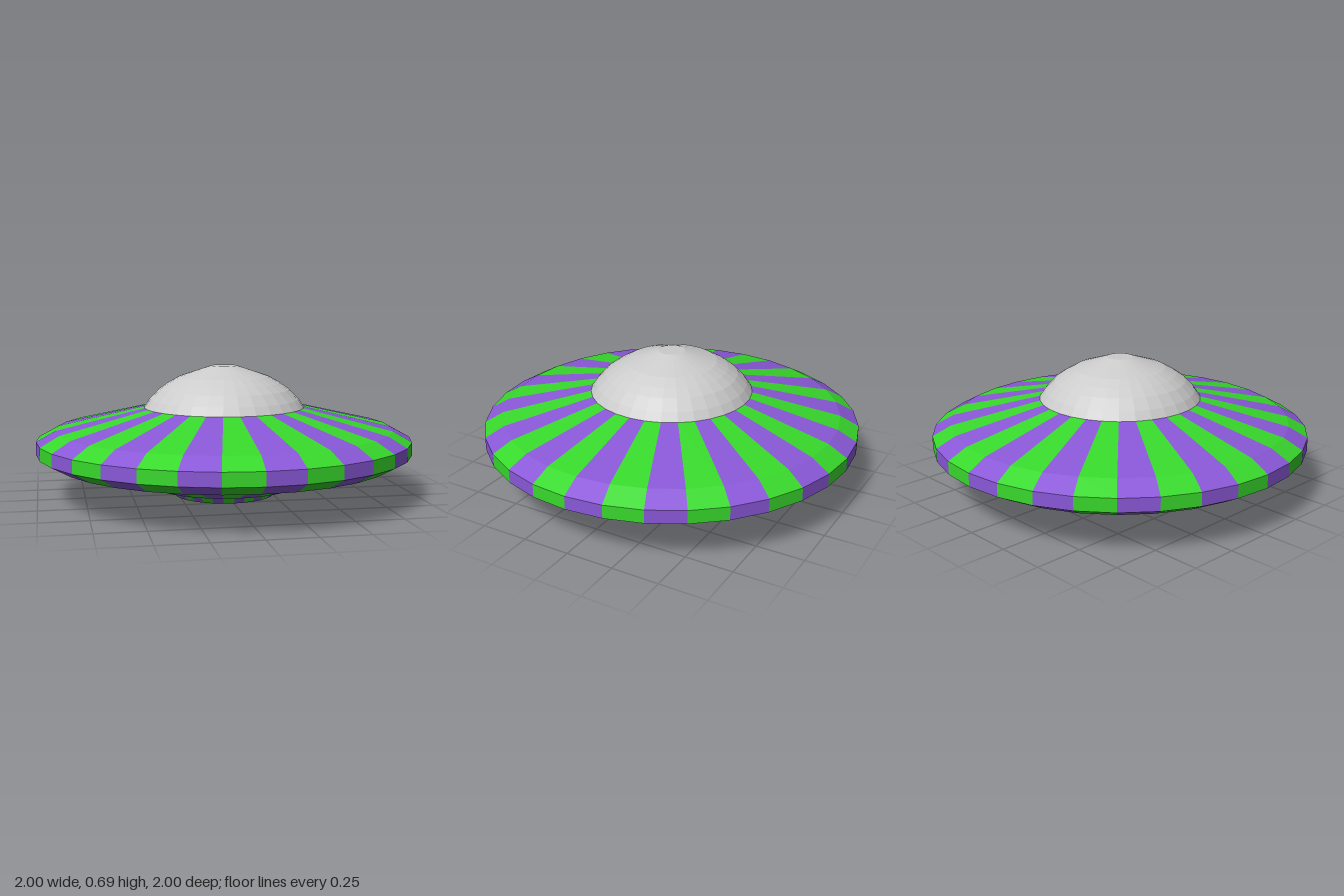
import * as THREE from 'three';
import { mergeGeometries } from 'three/addons/utils/BufferGeometryUtils.js';

const SIDES = 32;
const STEP = (Math.PI * 2) / SIDES;
const toPoints = (list) => list.map(([r, y]) => new THREE.Vector2(r, y));
const material = (color) => new THREE.MeshStandardMaterial({ color, flatShading: true });

// Hull section: recess wall, foot lip, flared underside, rim, sloped deck
const hullProfile = toPoints([
  [0.27, 0.112], [0.27, 0], [0.3, 0.035], [0.4, 0.055], [0.58, 0.118],
  [0.9, 0.185], [1, 0.24], [1, 0.31], [0.9, 0.365], [0.43, 0.475],
]);

const domeProfile = toPoints([
  [0.43, 0.475], [0.4, 0.518], [0.35, 0.57], [0.3, 0.605],
  [0.24, 0.638], [0.15, 0.668], [0.07, 0.695], [0, 0.695],
]);

// Every second wedge of the hull, merged into one mesh
function hullStripes(name, first, mat) {
  const wedges = [];
  for (let i = first; i < SIDES; i += 2) {
    wedges.push(new THREE.LatheGeometry(hullProfile, 1, i * STEP, STEP));
  }
  const mesh = new THREE.Mesh(mergeGeometries(wedges), mat);
  mesh.name = name;
  return mesh;
}

export function createModel() {
  const model = new THREE.Group();
  model.name = 'flyingSaucer';
  const purple = material(0x8a58d8);
  const green = material(0x38d92c);

  // Striped hull
  const hull = new THREE.Group();
  hull.name = 'hull';
  hull.add(hullStripes('purpleStripes', 0, purple), hullStripes('greenStripes', 1, green));

  // Ceiling of the recess underneath, facing down
  const hatch = new THREE.Mesh(new THREE.CircleGeometry(0.27, SIDES), purple);
  hatch.name = 'bottomHatch';
  hatch.rotation.x = Math.PI / 2;
  hatch.position.y = 0.112;

  // Cabin dome
  const dome = new THREE.Mesh(new THREE.LatheGeometry(domeProfile, SIDES), material(0xcccccc));
  dome.name = 'dome';

  model.add(hull, hatch, dome);
  return model;
}
